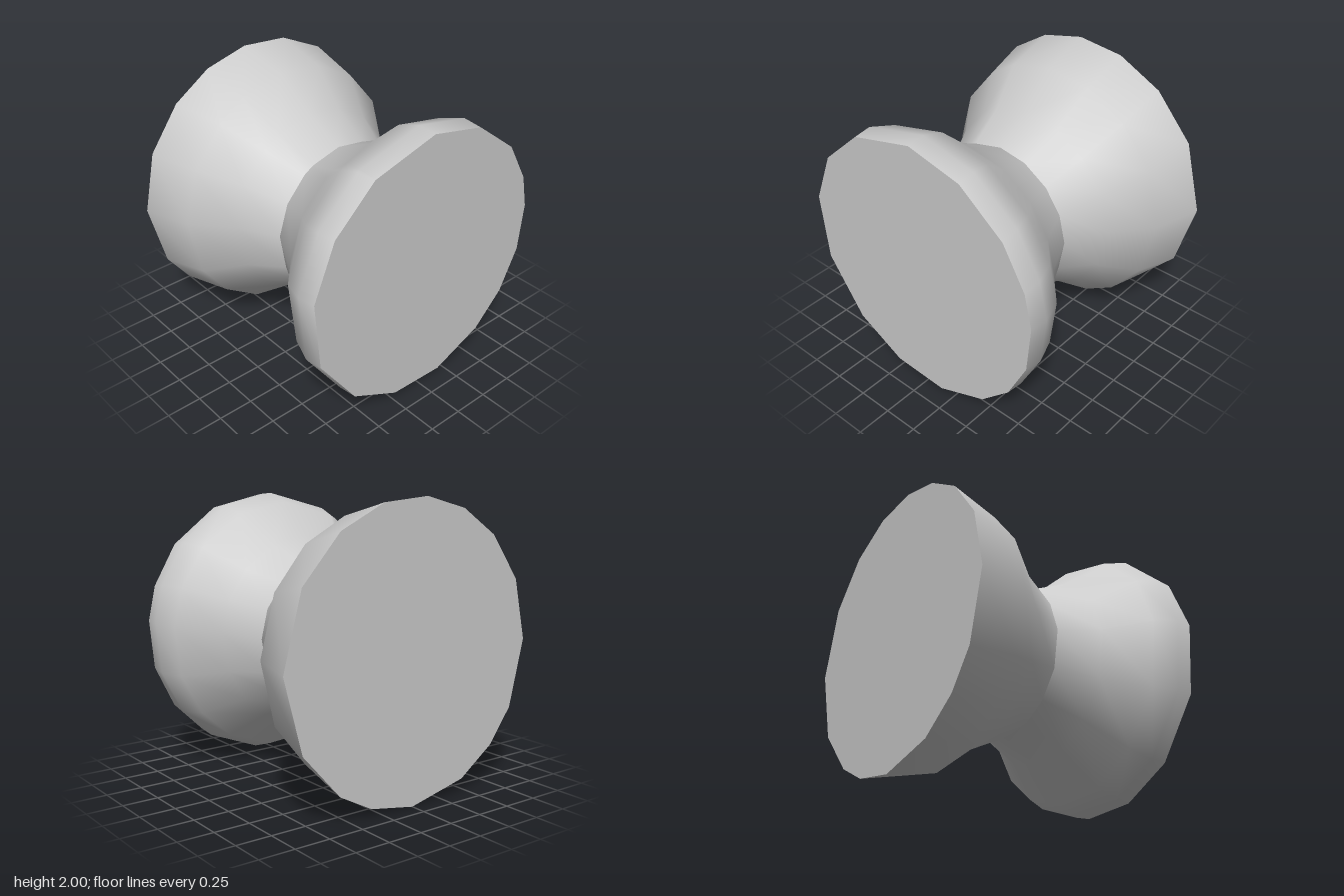
import * as THREE from 'three';

// Slightly irregular facet angles (degrees) at the back and front rims
const BACK = [0, 30, 54, 75, 95, 114, 133, 155, 180, 208, 225, 244, 270, 290, 306, 330];
const FRONT = [5, 20, 40, 65, 90, 120, 120, 145, 170, 200, 230, 255, 280, 305, 324, 344];
const N = BACK.length;
const DEPTH = 0.89;

// One cross-section of the spool: angles blend from the back rim to the front rim
function ring([z, r]) {
  const t = (z + DEPTH) / (2 * DEPTH);
  return BACK.map((a, i) => {
    const angle = THREE.MathUtils.degToRad(THREE.MathUtils.lerp(a, FRONT[i], t));
    return new THREE.Vector3(r * Math.cos(angle), 1 + r * Math.sin(angle), z);
  });
}

// Smooth skin through a run of rings, listed from back to front
function flare(profile) {
  const index = [];
  for (let k = 0; k < profile.length - 1; k++) {
    for (let i = 0; i < N; i++) {
      const j = (i + 1) % N;
      const a = k * N + i, b = k * N + j, c = b + N, d = a + N;
      index.push(a, b, c, a, c, d);
    }
  }
  const geometry = new THREE.BufferGeometry().setFromPoints(profile.flatMap(ring));
  geometry.setIndex(index);
  geometry.computeVertexNormals();
  return geometry;
}

// Flat disc closing an end
function cap(section, facesFront) {
  const points = [new THREE.Vector3(0, 1, section[0]), ...ring(section)];
  const index = [];
  for (let i = 0; i < N; i++) {
    const a = 1 + i, b = 1 + (i + 1) % N;
    index.push(0, facesFront ? a : b, facesFront ? b : a);
  }
  const geometry = new THREE.BufferGeometry().setFromPoints(points);
  geometry.setIndex(index);
  geometry.computeVertexNormals();
  return geometry;
}

export function createModel() {
  const group = new THREE.Group();
  group.name = 'spool';
  const material = new THREE.MeshStandardMaterial({ color: 0xcccccc });
  const add = (name, geometry) => {
    const mesh = new THREE.Mesh(geometry, material);
    mesh.name = name;
    group.add(mesh);
  };

  // Profiles as [z, radius]; both halves meet at the sharp waist
  const back = [[-DEPTH, 1], [-0.51, 0.91], [-0.24, 0.69], [0.045, 0.545]];
  const front = [[0.045, 0.545], [0.33, 0.68], [0.59, 0.915], [0.76, 0.975], [DEPTH, 0.963]];

  add('backFlare', flare(back));
  add('frontFlare', flare(front));
  add('backFace', cap(back[0], false));
  add('frontFace', cap(front[front.length - 1], true));
  return group;
}
